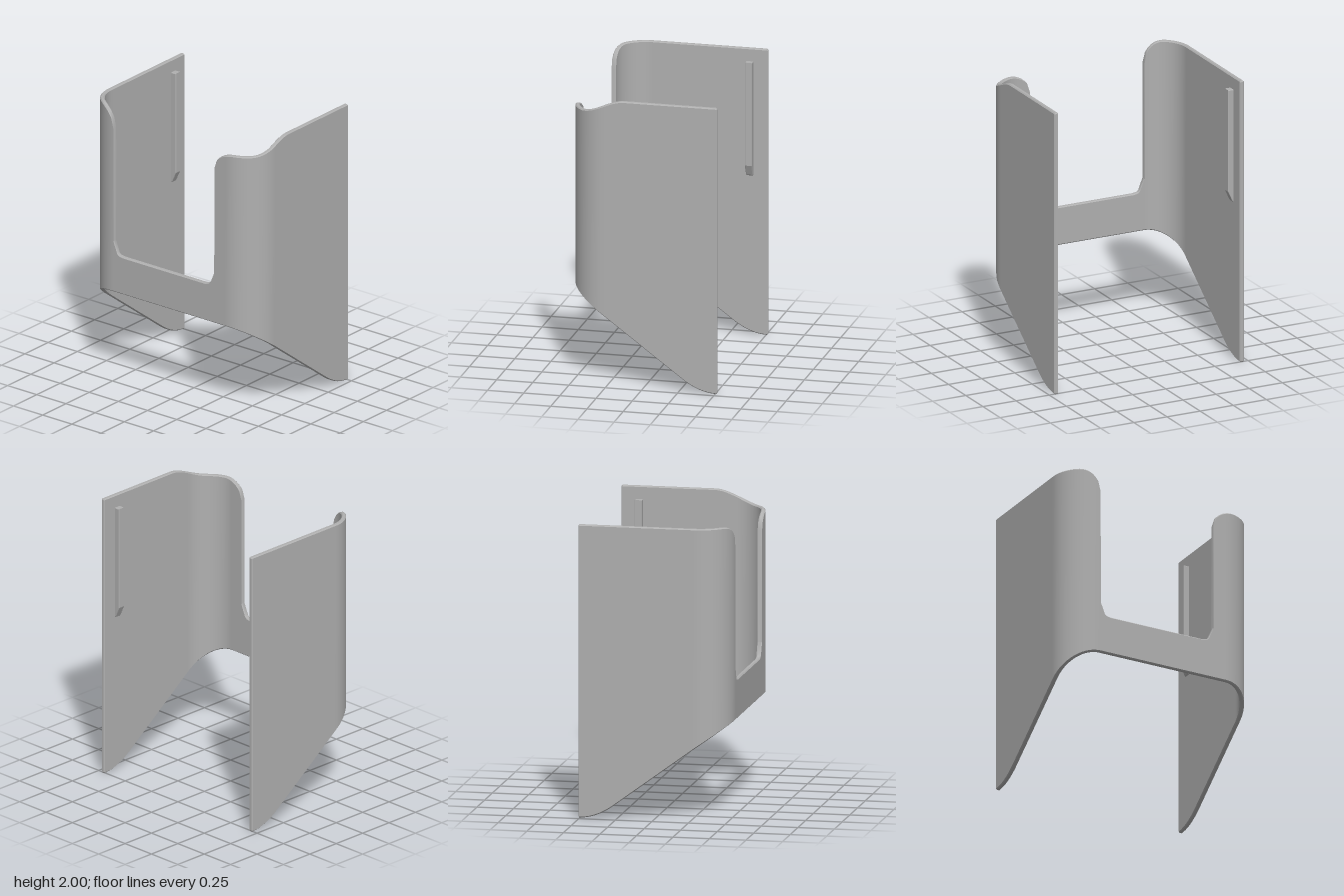
import * as THREE from 'three';
import { toCreasedNormals } from 'three/addons/utils/BufferGeometryUtils.js';

const HALF = 0.0155; // half the sheet thickness
const CX = -0.28, CZ = 0.48, R = 0.22; // bend centre and radius
const clamp = THREE.MathUtils.clamp;

// sloping lower edge, easing out to the floor at the open end
const bottomY = x => x < 0.27 ? 0.09 + 0.74 * (0.27 - x) : 0.09 * ((0.51 - x) / 0.24) ** 2;

// upper edge of the front arm: a shallow scoop, rounded off at the opening
function frontTop(x, z) {
  if (z < 0.54) return 1.79 + 0.12 * Math.sqrt(1 - clamp((0.54 - z) / 0.155, 0, 1) ** 2);
  return 1.91 + 0.09 * THREE.MathUtils.smoothstep(-x, 0.13, 0.44) * -1 + 0.09;
}
// upper edge of the back arm: a single rounded corner at the opening
const backTop = z => 1.85 + 0.15 * Math.sqrt(1 - clamp((z + 0.62) / 0.14, 0, 1) ** 2);

// columns along the bent sheet, from the front arm round to the back arm
function makeColumns() {
  const cols = [];
  const add = (x, z, nx, nz, top, inset = 0) =>
    cols.push({ x, z, nx, nz, y0: bottomY(x) + inset, y1: top - inset, h: HALF - inset });
  const N = 40, A = 20;
  add(0.512, 0.7, 0, 1, 2, 0.007);
  for (let i = 0; i <= N; i++) {
    const x = 0.505 + (CX - 0.505) * i / N;
    add(x, 0.7, 0, 1, frontTop(x, 0.7));
  }
  for (let i = 1; i <= A; i++) {
    const t = i / A * Math.PI / 2, s = Math.sin(t), c = Math.cos(t);
    add(CX - R * s, CZ + R * c, -s, c, frontTop(CX - R * s, CZ + R * c));
  }
  for (let i = 1; i <= 8; i++) {
    const z = 0.385 + 0.095 * Math.cos(i / 8 * Math.PI / 2);
    add(-0.5, z, -1, 0, frontTop(-0.5, z));
  }
  // opening in the spine wall
  for (const [z, y] of [[0.384, 1.03], [0.35, 0.95], [0.335, 0.937], [0.3, 0.93],
    [-0.4, 0.93], [-0.435, 0.937], [-0.447, 0.95], [-0.479, 1.03]]) add(-0.5, z, -1, 0, y);
  for (let i = 0; i <= A; i++) {
    const t = i / A * Math.PI / 2, s = Math.sin(t), c = Math.cos(t);
    add(CX - R * c, -CZ - R * s, -c, -s, backTop(-CZ - R * s));
  }
  for (let i = 1; i <= N; i++) add(CX + (0.505 - CX) * i / N, -0.7, 0, -1, 2);
  add(0.512, -0.7, 0, -1, 2, 0.007);
  return cols;
}

// loft a chamfered section through all columns
function sheetGeometry() {
  const pos = [], idx = [], cols = makeColumns(), M = 8, b = 0.007;
  for (const { x, z, nx, nz, y0, y1, h } of cols) {
    const k = Math.min(b, h * 0.5);
    const ring = [[h, y0 + k], [h, y1 - k], [h - k, y1], [k - h, y1],
      [-h, y1 - k], [-h, y0 + k], [k - h, y0], [h - k, y0]];
    for (const [o, y] of ring) pos.push(x + nx * o, y, z + nz * o);
  }
  for (let i = 0; i < cols.length - 1; i++) {
    for (let j = 0; j < M; j++) {
      const a = i * M + j, c = i * M + (j + 1) % M;
      idx.push(a + M, a, c, a + M, c, c + M);
    }
  }
  const e = (cols.length - 1) * M;
  for (let j = 1; j < M - 1; j++) idx.push(0, j + 1, j, e, e + j, e + j + 1);
  const g = new THREE.BufferGeometry();
  g.setAttribute('position', new THREE.Float32BufferAttribute(pos, 3));
  g.setIndex(idx);
  return toCreasedNormals(g, 0.5);
}

// guide rail with a tapered foot, drawn in (z, y) and extruded along x
function railGeometry(side) {
  const pts = [[0.69, 1.905], [0.65, 1.905], [0.65, 1.19], [0.682, 1.12], [0.69, 1.11]];
  const shape = new THREE.Shape(pts.map(([z, y]) => new THREE.Vector2(-z * side, y)));
  const g = new THREE.ExtrudeGeometry(shape, {
    depth: 0.04, bevelEnabled: true, bevelThickness: 0.005, bevelSize: 0.005, bevelSegments: 2,
  });
  g.rotateY(Math.PI / 2); // shape x becomes -z, depth becomes x
  g.translate(0.368, 0, 0);
  return g;
}

export function createModel() {
  const model = new THREE.Group();
  model.name = 'bracket';
  const grey = new THREE.MeshStandardMaterial({ color: 0xb0b0b0 });
  grey.name = 'grey';
  const add = (name, geometry) => {
    const mesh = new THREE.Mesh(geometry, grey);
    mesh.name = name;
    model.add(mesh);
  };
  add('bentSheet', sheetGeometry());
  add('frontRail', railGeometry(1));
  add('backRail', railGeometry(-1));
  return model;
}
